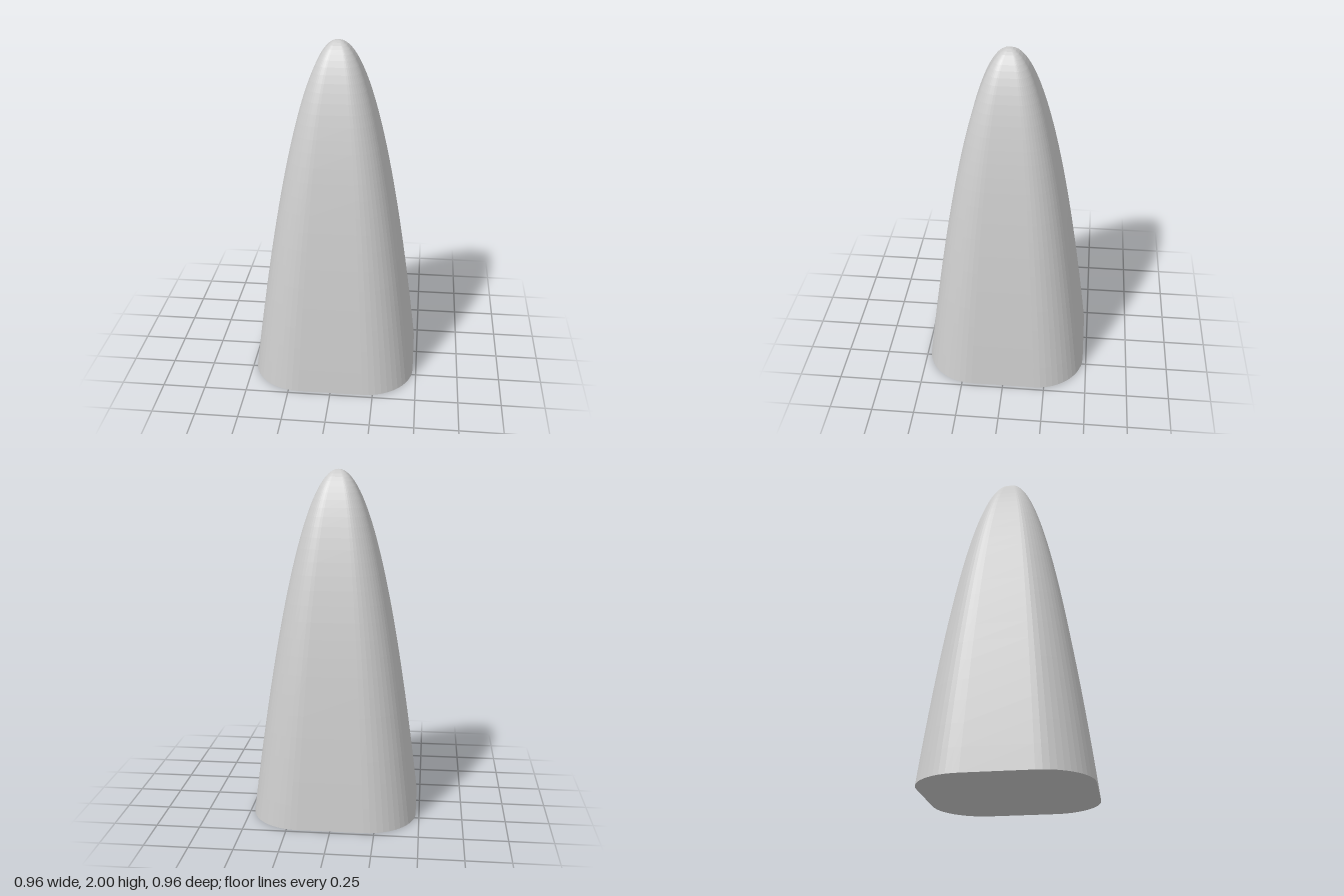
import * as THREE from 'three';

const HEIGHT = 2, HALF = 0.48, CORNER = 0.288;
const CORNER_STEPS = 12, RINGS = 28;

// Rounded square outline, anticlockwise
function roundedSquare() {
  const points = [], inner = HALF - CORNER;
  for (let q = 0; q < 4; q++) {
    const mid = (q + 0.5) * Math.PI / 2;
    const cx = Math.sign(Math.cos(mid)) * inner, cy = Math.sign(Math.sin(mid)) * inner;
    for (let i = 0; i <= CORNER_STEPS; i++) {
      const a = (q + i / CORNER_STEPS) * Math.PI / 2;
      points.push(new THREE.Vector2(cx + CORNER * Math.cos(a), cy + CORNER * Math.sin(a)));
    }
  }
  return points;
}

// Outline shrunk towards the tip along a parabola
function shellGeometry(outline) {
  const n = outline.length, positions = [], indices = [];
  for (let r = 0; r < RINGS; r++) {
    const t = 1 - r / RINGS;
    for (const p of outline) positions.push(p.x * t, HEIGHT * (1 - t * t), -p.y * t);
  }
  positions.push(0, HEIGHT, 0);
  const tip = n * RINGS;
  for (let r = 0; r < RINGS; r++) {
    for (let i = 0; i < n; i++) {
      const j = (i + 1) % n;
      const a = r * n + i, b = r * n + j;
      if (r === RINGS - 1) indices.push(a, b, tip);
      else indices.push(a, b, b + n, a, b + n, a + n);
    }
  }
  const geometry = new THREE.BufferGeometry();
  geometry.setAttribute('position', new THREE.Float32BufferAttribute(positions, 3));
  geometry.setIndex(indices);
  geometry.computeVertexNormals();
  return geometry;
}

export function createModel() {
  const model = new THREE.Group();
  model.name = 'taperedDome';
  const material = new THREE.MeshStandardMaterial({ color: 0xcccccc, flatShading: true });
  const outline = roundedSquare();

  const shell = new THREE.Mesh(shellGeometry(outline), material);
  shell.name = 'shell';

  // Flat underside
  const base = new THREE.Mesh(new THREE.ShapeGeometry(new THREE.Shape(outline)), material);
  base.name = 'base';
  base.rotation.x = Math.PI / 2;

  model.add(shell, base);
  return model;
}
